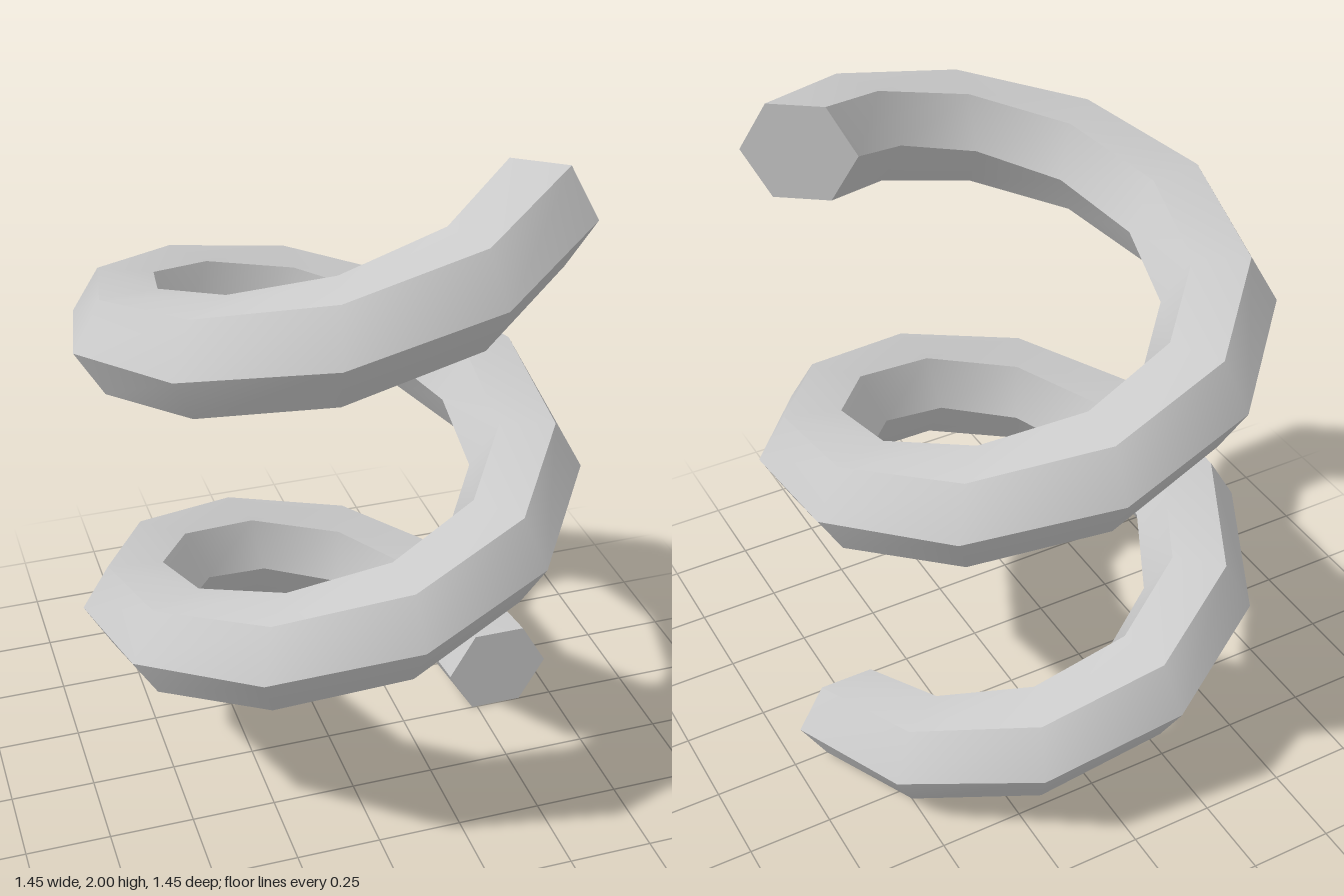
import * as THREE from 'three';

const TURNS = 1.9, STEPS = 20, SIDES = 6;
const COIL_R = 0.567, WIRE_R = 0.16;
const HALF_H = WIRE_R * Math.sin(Math.PI / 3);
const RISE = 2 - 2 * HALF_H;

// Corner j of the hexagonal section at step i; sections stay upright and radial
function corner(i, j) {
  const a = (i / STEPS) * TURNS * Math.PI * 2;
  const p = (j / SIDES) * Math.PI * 2;
  const rad = COIL_R + WIRE_R * Math.cos(p);
  const y = HALF_H + (i / STEPS) * RISE + WIRE_R * Math.sin(p);
  return [rad * Math.cos(a) - 0.003, y, -rad * Math.sin(a) - 0.001];
}

function coilGeometry() {
  const pos = [], idx = [];
  // One strip per side: smooth along the coil, sharp at the ridges
  for (let j = 0; j < SIDES; j++) {
    const base = pos.length / 3;
    for (let i = 0; i <= STEPS; i++) {
      pos.push(...corner(i, j), ...corner(i, j + 1));
      if (i === STEPS) break;
      const a = base + i * 2;
      idx.push(a, a + 2, a + 3, a, a + 3, a + 1);
    }
  }
  // Flat end caps
  for (const i of [0, STEPS]) {
    const base = pos.length / 3;
    for (let j = 0; j < SIDES; j++) pos.push(...corner(i, j));
    for (let j = 1; j < SIDES - 1; j++) {
      if (i === 0) idx.push(base, base + j, base + j + 1);
      else idx.push(base, base + j + 1, base + j);
    }
  }
  const geo = new THREE.BufferGeometry();
  geo.setAttribute('position', new THREE.Float32BufferAttribute(pos, 3));
  geo.setIndex(idx);
  geo.computeVertexNormals();
  return geo;
}

export function createModel() {
  const group = new THREE.Group();
  group.name = 'spring';
  const coil = new THREE.Mesh(coilGeometry(), new THREE.MeshStandardMaterial({ color: 0xcccccc }));
  coil.name = 'coil';
  group.add(coil);
  return group;
}
